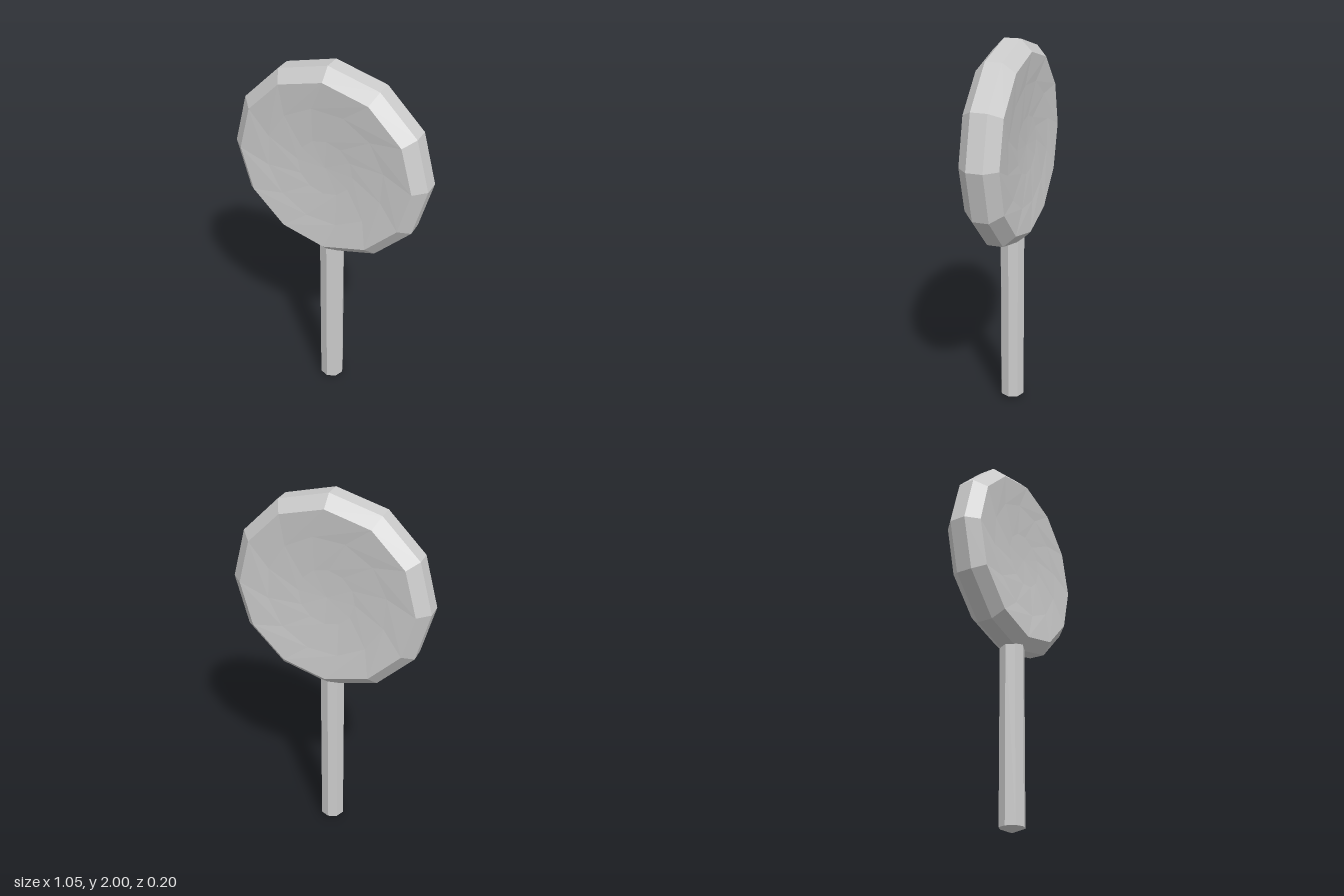
import * as THREE from 'three';

const SIDES = 12;
const CENTRE_Y = 1.475;

// Low-poly disc skinned from rings of [radius, z, twist]; zero radius closes the centre
function ringedDisc(rings) {
  const point = ([r, z, twist], i) => {
    const a = (i / SIDES) * Math.PI * 2 + twist;
    return [r * Math.cos(a), r * Math.sin(a), z];
  };
  const pos = [];
  for (let k = 0; k < rings.length - 1; k++) {
    for (let i = 0; i < SIDES; i++) {
      const a = point(rings[k], i), b = point(rings[k], i + 1);
      const c = point(rings[k + 1], i + 1), d = point(rings[k + 1], i);
      if (rings[k][0] > 0) pos.push(...a, ...b, ...c);
      if (rings[k + 1][0] > 0) pos.push(...a, ...c, ...d);
    }
  }
  const geo = new THREE.BufferGeometry();
  geo.setAttribute('position', new THREE.Float32BufferAttribute(pos, 3));
  geo.computeVertexNormals();
  return geo;
}

export function createModel() {
  const group = new THREE.Group();
  const material = new THREE.MeshStandardMaterial({ color: 0xcccccc, flatShading: true });

  // Candy: bevelled rim with a shallow, swirled dish on each face
  const half = [[0.525, 0.042, 0], [0.465, 0.1, 0], [0.32, 0.088, 0.2], [0.15, 0.078, 0.45], [0, 0.074, 0]];
  const back = half.map(([r, z, t]) => [r, -z, -t]).reverse();
  const candy = new THREE.Mesh(ringedDisc([...back, ...half]), material);
  candy.name = 'candy';
  candy.position.y = CENTRE_Y;
  group.add(candy);

  // Stick: octagonal, pointed at the foot, running up into the candy
  const profile = [[0, 0.005], [0.066, 0.03], [0.066, 1.05], [0, 1.05]].map(p => new THREE.Vector2(...p));
  const stick = new THREE.Mesh(new THREE.LatheGeometry(profile, 8), material);
  stick.name = 'stick';
  group.add(stick);

  return group;
}
